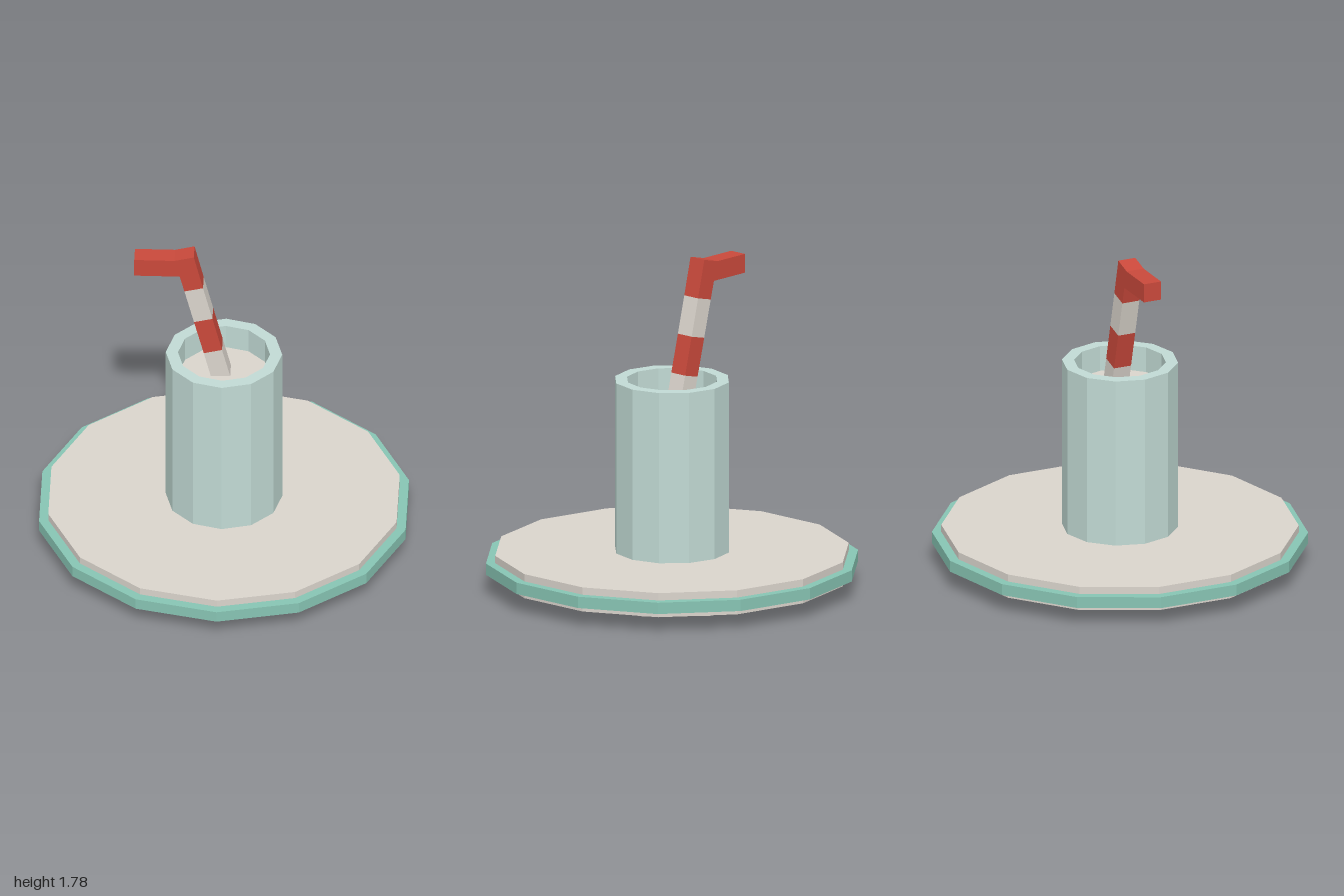
import * as THREE from 'three';

const cream = new THREE.MeshStandardMaterial({ color: 0xdad4cc });
cream.name = 'cream';
const teal = new THREE.MeshStandardMaterial({ color: 0x87c4b3 });
teal.name = 'teal';
const paleGlass = new THREE.MeshStandardMaterial({ color: 0xc1dad4 });
paleGlass.name = 'pale glass';
const red = new THREE.MeshStandardMaterial({ color: 0xc9493b });
red.name = 'red';

// Faceted mesh: unshared corners give every face its own normal
function faceted(name, geometry, material) {
  const flat = geometry.index ? geometry.toNonIndexed() : geometry;
  flat.computeVertexNormals();
  const mesh = new THREE.Mesh(flat, material);
  mesh.name = name;
  return mesh;
}

// Upright disc between two heights
function disc(name, radius, y0, y1, sides, material) {
  const geometry = new THREE.CylinderGeometry(radius, radius, y1 - y0, sides);
  geometry.translate(0, (y0 + y1) / 2, 0);
  return faceted(name, geometry, material);
}

// Straw section: side outline extruded to the straw's thickness
function strawPart(name, outline, material) {
  const shape = new THREE.Shape(outline.map(([x, y]) => new THREE.Vector2(x, y)));
  const geometry = new THREE.ExtrudeGeometry(shape, { depth: 0.1, bevelEnabled: false });
  geometry.translate(0, 0, -0.086);
  return faceted(name, geometry, material);
}

export function createModel() {
  const model = new THREE.Group();
  model.name = 'cupOnPlate';

  // Plate with foot and coloured rim
  model.add(disc('plateFoot', 0.655, 0, 0.075, 12, cream));
  model.add(disc('plate', 0.95, 0.075, 0.207, 14, cream));
  model.add(disc('plateRim', 1, 0.105, 0.167, 14, teal));

  // Hollow cup, outside wall up, over the lip and down inside
  const profile = [[0.31, 0.2], [0.31, 1.14], [0.245, 1.14], [0.245, 0.95]]
    .map(([r, y]) => new THREE.Vector2(r, y));
  model.add(faceted('cup', new THREE.LatheGeometry(profile, 12), paleGlass));
  model.add(disc('drink', 0.246, 0.95, 1.0, 12, cream));

  // Leaning square straw: left and right edge points at each stripe boundary
  const straw = new THREE.Group();
  straw.name = 'straw';
  const cuts = [
    [[-0.053, 0.93], [0.045, 0.955]],
    [[-0.107, 1.148], [-0.01, 1.172]],
    [[-0.159, 1.352], [-0.061, 1.376]],
    [[-0.21, 1.553], [-0.111, 1.577]],
  ];
  for (let i = 0; i < 3; i++) {
    const [a, b] = cuts[i], [c, d] = cuts[i + 1];
    straw.add(strawPart('strawStripe' + (i + 1), [a, b, d, c], i % 2 ? red : cream));
  }

  // Bent mouthpiece
  straw.add(strawPart('strawBend', [
    [-0.21, 1.553], [-0.111, 1.577], [-0.16, 1.779], [-0.263, 1.753],
    [-0.477, 1.753], [-0.477, 1.65], [-0.235, 1.65],
  ], red));
  model.add(straw);

  return model;
}
